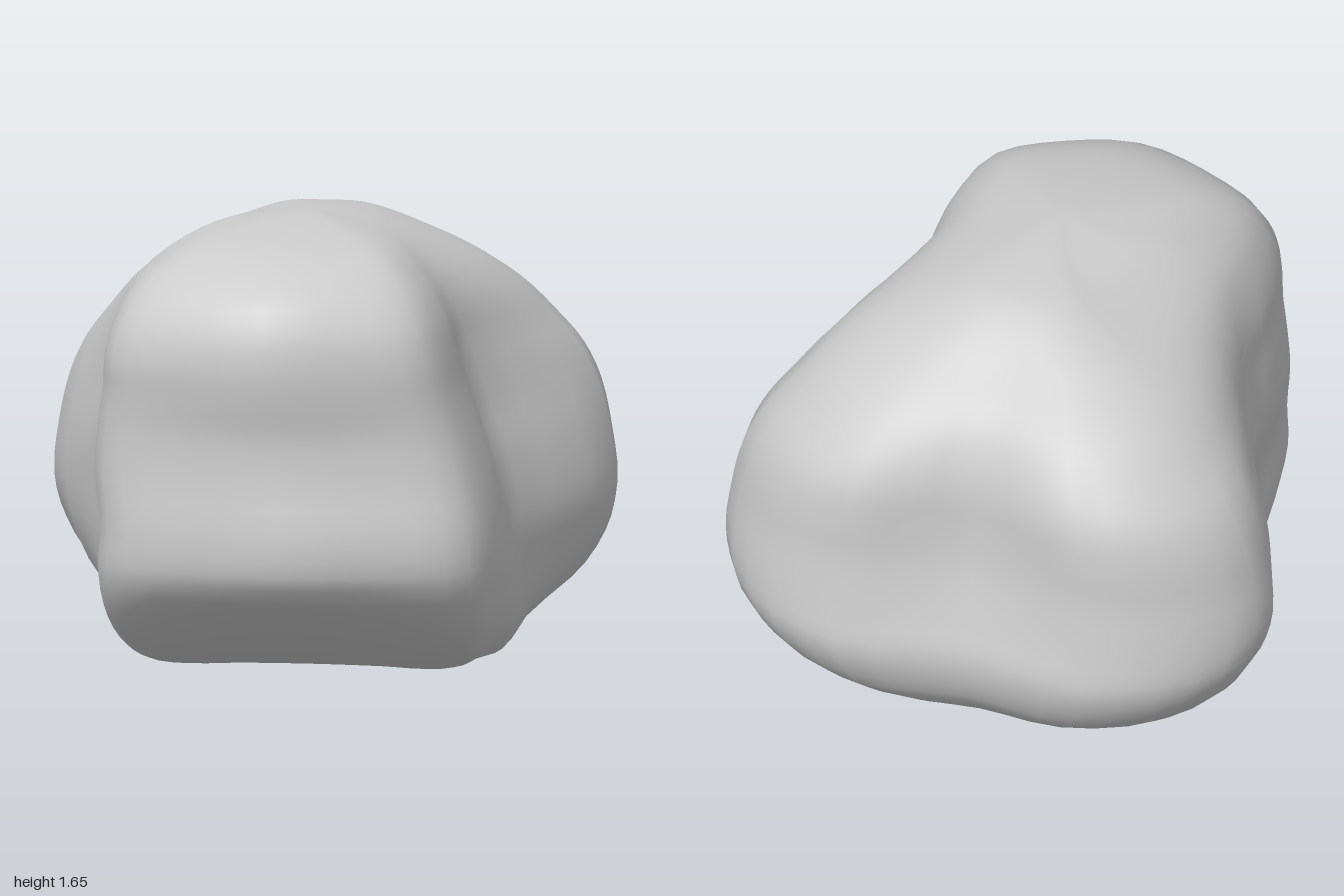
import * as THREE from 'three';
import { mergeVertices } from 'three/addons/utils/BufferGeometryUtils.js';

// Level: [y, front z, front corner z, back z, front half width, waist half width, back half width, back notch, x shift]
const LEVELS = [
  [0.00, -0.20, -0.20, -0.20, 0, 0, 0, 0, 0],
  [0.02, 0.08, 0.14, -0.46, 0.38, 0.42, 0.25, 0, 0],
  [0.06, 0.32, 0.35, -0.67, 0.58, 0.63, 0.46, 0, 0.01],
  [0.13, 0.50, 0.50, -0.79, 0.65, 0.70, 0.63, 0.02, 0.01],
  [0.25, 0.73, 0.65, -0.91, 0.70, 0.74, 0.84, 0.04, 0.01],
  [0.42, 0.95, 0.76, -0.98, 0.72, 0.74, 0.96, 0.07, 0.01],
  [0.58, 0.98, 0.78, -0.96, 0.71, 0.73, 1.00, 0.09, 0.01],
  [0.78, 0.95, 0.75, -0.93, 0.70, 0.72, 0.98, 0.11, -0.02],
  [0.95, 0.94, 0.74, -0.92, 0.67, 0.68, 0.94, 0.12, -0.04],
  [1.08, 0.96, 0.75, -0.90, 0.64, 0.65, 0.88, 0.11, -0.05],
  [1.20, 0.97, 0.76, -0.84, 0.62, 0.62, 0.79, 0.08, -0.06],
  [1.33, 0.95, 0.74, -0.73, 0.58, 0.58, 0.68, 0.04, -0.06],
  [1.45, 0.88, 0.67, -0.57, 0.51, 0.51, 0.53, 0.02, -0.06],
  [1.55, 0.70, 0.55, -0.42, 0.39, 0.39, 0.34, 0, -0.05],
  [1.61, 0.45, 0.35, -0.29, 0.24, 0.24, 0.19, 0, -0.05],
  [1.65, 0.15, 0.15, 0.15, 0, 0, 0, 0, 0],
];
const SEGMENTS = 48;
const ROWS = 45;

// Closed outline of the rock at one height: broad nose, pinched waist, two rear lobes
function outline([y, front, corner, back, wf, ww, wb, notch, shift]) {
  const z = (t) => corner + (back - corner) * t;
  const half = (s) => [
    [s * wf * 0.5 + shift, front + (corner - front) * 0.35],
    [s * wf * 0.9 + shift, corner],
    [s * wf + shift, z(0.19)],
    [s * ww + shift, z(0.39)],
    [s * wb, z(0.72)],
    [s * wb * 0.84, z(0.91)],
    [s * wb * 0.47, back],
  ];
  const points = [[shift, front], ...half(1), [0, back + notch], ...half(-1).reverse()];
  return new THREE.CatmullRomCurve3(points.map(([x, pz]) => new THREE.Vector3(x, y, pz)), true, 'catmullrom', 0.5);
}

function rockGeometry() {
  const rings = LEVELS.map(outline);
  const positions = [];
  const index = [];
  // One smooth curve from the base to the crown for every step around the rock
  for (let j = 0; j < SEGMENTS; j++) {
    const column = new THREE.CatmullRomCurve3(rings.map((ring) => ring.getPoint(j / SEGMENTS)));
    for (let i = 0; i <= ROWS; i++) positions.push(...column.getPoint(i / ROWS).toArray());
  }
  for (let j = 0; j < SEGMENTS; j++) {
    for (let i = 0; i < ROWS; i++) {
      const a = j * (ROWS + 1) + i;
      const b = ((j + 1) % SEGMENTS) * (ROWS + 1) + i;
      if (i > 0) index.push(a, b, b + 1);
      if (i < ROWS - 1) index.push(a, b + 1, a + 1);
    }
  }
  let geometry = new THREE.BufferGeometry();
  geometry.setAttribute('position', new THREE.Float32BufferAttribute(positions, 3));
  geometry.setIndex(index);
  // Join the points at the two poles so the shading stays smooth
  geometry = mergeVertices(geometry, 1e-4);
  geometry.computeVertexNormals();
  return geometry;
}

export function createModel() {
  const group = new THREE.Group();
  group.name = 'rock';
  const boulder = new THREE.Mesh(rockGeometry(), new THREE.MeshStandardMaterial({ color: 0xcccccc }));
  boulder.name = 'boulder';
  group.add(boulder);
  return group;
}
